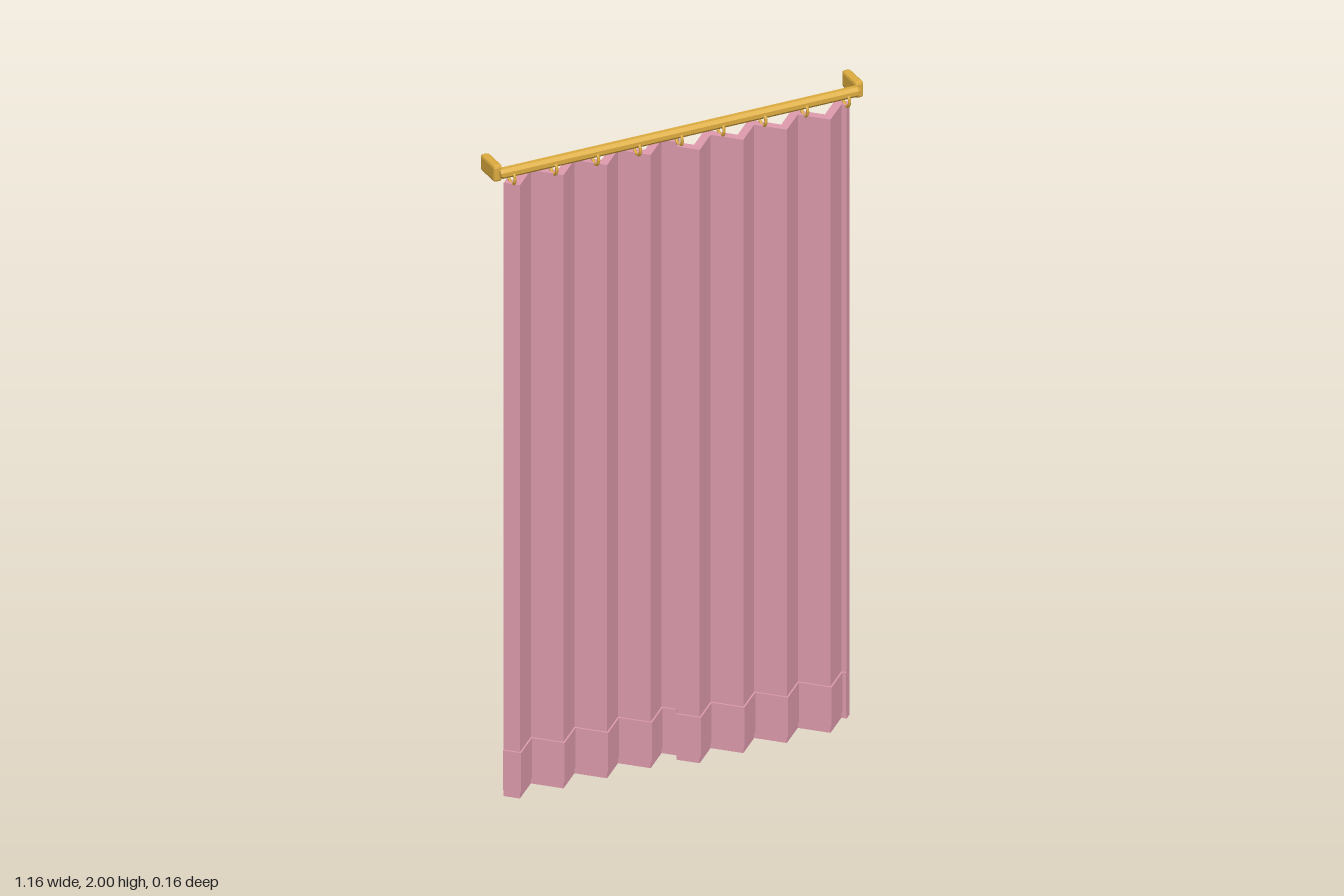
import * as THREE from 'three';
import { RoundedBoxGeometry } from 'three/addons/geometries/RoundedBoxGeometry.js';

const PITCH = 0.0683; // half a pleat, folded at 45 degrees
const HALF = 0.0125;  // half the cloth thickness

// Centre line of one zigzag panel: [x, z] points from x0 to x1
function pleatLine(x0, x1, firstFold, z) {
  const a = PITCH / 2, folds = [];
  for (let i = 0; i < 8; i++) folds.push([firstFold + i * PITCH, z + (i % 2 ? -a : a)]);
  const first = folds[0], last = folds[7];
  return [[x0, first[1] - (first[0] - x0)], ...folds, [x1, last[1] + (x1 - last[0])]];
}

// Line moved forward by d: mitred at folds, square at both ends
function offset(line, d) {
  return line.map(([x, z], i) => i === 0 || i === line.length - 1
    ? [x - d * Math.SQRT1_2, z + d * Math.SQRT1_2]
    : [x, z + d * Math.SQRT2]);
}

// Upright slab between two offsets of a line
function pleatedSlab(line, back, front, y, height, material, name) {
  const outline = [...offset(line, front), ...offset(line, back).reverse()];
  const shape = new THREE.Shape(outline.map(([x, z]) => new THREE.Vector2(x, -z)));
  const geo = new THREE.ExtrudeGeometry(shape, { depth: height, bevelEnabled: false });
  geo.rotateX(-Math.PI / 2).translate(0, y, 0);
  const mesh = new THREE.Mesh(geo, material);
  mesh.name = name;
  return mesh;
}

export function createModel() {
  const model = new THREE.Group();
  model.name = 'curtains';
  const cloth = new THREE.MeshStandardMaterial({ color: 0xdd9aac, flatShading: true });
  cloth.name = 'pink cloth';
  const brass = new THREE.MeshStandardMaterial({ color: 0xdbab3f, flatShading: true });
  brass.name = 'brass';

  const add = (geo, name, x, y, z) => {
    const mesh = new THREE.Mesh(geo, brass);
    mesh.name = name;
    mesh.position.set(x, y, z);
    model.add(mesh);
    return mesh;
  };

  // Two pleated panels, the left one hanging slightly further forward
  const panels = [
    ['rightPanel', pleatLine(-0.537, 0.006, -0.512, -0.012)],
    ['leftPanel', pleatLine(-0.006, 0.532, 0.034, 0.0225)],
  ];
  for (const [name, line] of panels) {
    const panel = new THREE.Group();
    panel.name = name;
    panel.add(pleatedSlab(line, -HALF, HALF, 0, 1.938, cloth, 'pleatedCloth'));
    // Hem band on the front face
    panel.add(pleatedSlab(line, HALF, HALF + 0.005, 0.022, 0.125, cloth, 'hem'));
    model.add(panel);
  }

  // Octagonal rod with tapered ends
  const profile = [[0, -0.563], [0.012, -0.563], [0.0165, -0.555],
    [0.0165, 0.555], [0.012, 0.563], [0, 0.563]].map(([r, y]) => new THREE.Vector2(r, y));
  const rodGeo = new THREE.LatheGeometry(profile, 8, Math.PI / 8);
  rodGeo.rotateZ(Math.PI / 2);
  add(rodGeo, 'rod', 0, 1.974, 0.014);

  // Wall brackets
  for (const side of [-1, 1]) {
    add(new RoundedBoxGeometry(0.027, 0.052, 0.09, 1, 0.008),
      side > 0 ? 'leftBracket' : 'rightBracket', side * 0.566, 1.974, -0.031);
  }

  // Hanging rings
  for (let i = -4; i <= 4; i++) {
    const ring = new THREE.TorusGeometry(0.021, 0.0045, 6, 16);
    ring.rotateY(Math.PI / 2);
    add(ring, 'ring', i * 0.131, 1.955, 0.0125);
  }
  return model;
}
